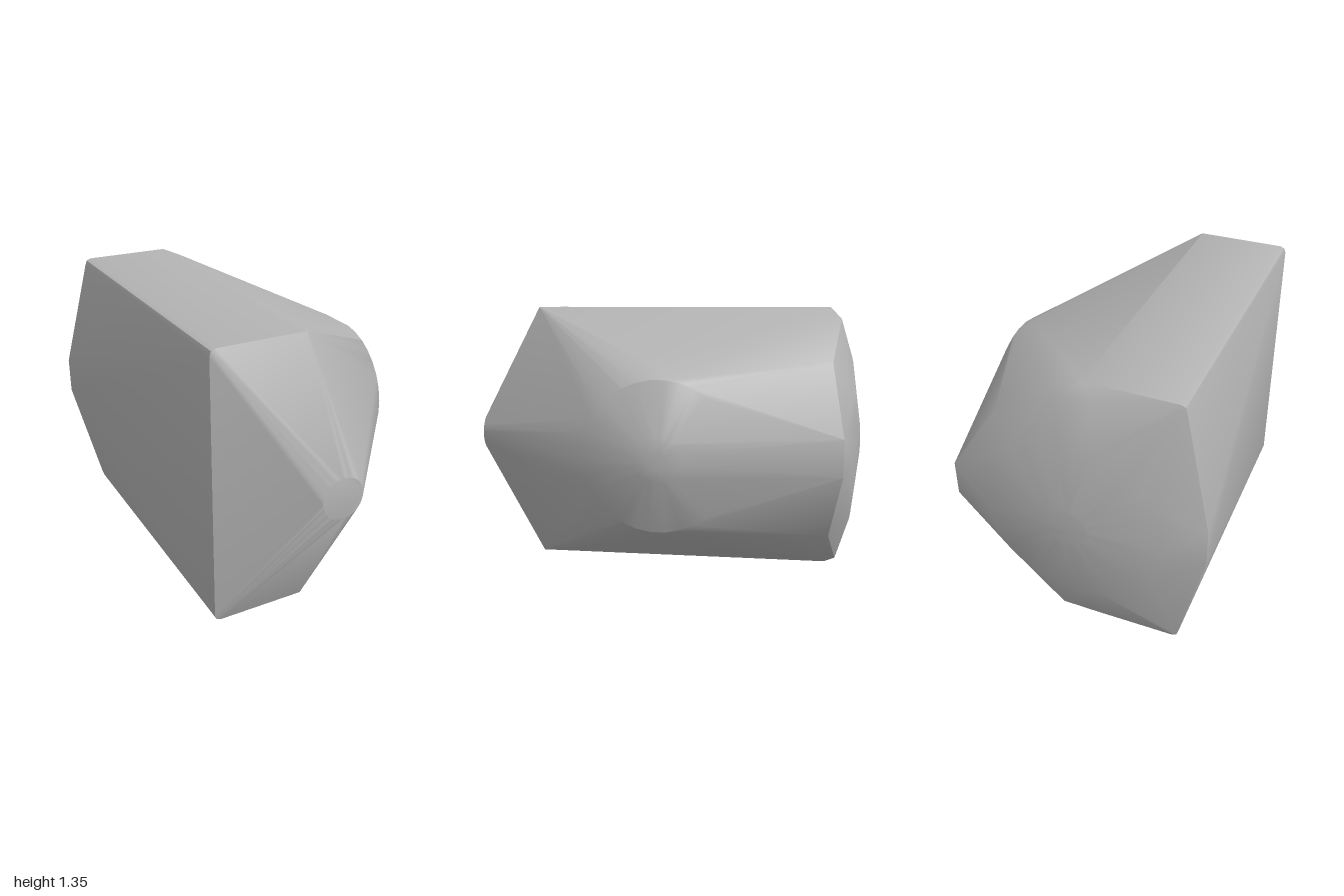
import * as THREE from 'three';
import { ConvexGeometry } from 'three/addons/geometries/ConvexGeometry.js';
import { toCreasedNormals } from 'three/addons/utils/BufferGeometryUtils.js';

const MID = 0.677; // mirror height of the body

export function createModel() {
  const group = new THREE.Group();
  group.name = 'facetedHull';
  const grey = new THREE.MeshStandardMaterial({ color: 0xb4b4b4 });
  grey.name = 'grey';

  const points = [];
  // a point and its mirror above and below the middle
  const pair = (x, dy, z) => {
    points.push(new THREE.Vector3(x, MID + dy, z), new THREE.Vector3(x, MID - dy, z));
  };
  // circle facing along z or x
  const ring = (axis, at, centre, r, n = 32) => {
    for (let i = 0; i < n; i++) {
      const a = ((i + 0.5) / n) * Math.PI * 2;
      const c = centre + r * Math.cos(a), y = MID + r * Math.sin(a);
      points.push(axis === 'z' ? new THREE.Vector3(c, y, at) : new THREE.Vector3(at, y, c));
    }
  };

  // flat top and bottom slabs with softened outer corners
  for (const z of [0.71, -0.84]) {
    pair(-0.115, 0.677, z);
    pair(-0.545, 0.677, z);
    pair(-0.567, 0.668, z);
    pair(-0.575, 0.645, z);
  }

  // small round nose
  ring('z', 1.0, -0.09, 0.103);

  // domed side
  ring('x', 0.70, -0.06, 0.05);
  ring('x', 0.69, -0.06, 0.105);
  ring('x', 0.605, -0.05, 0.355);
  ring('x', 0.51, -0.05, 0.412);

  // domed back
  ring('z', -1.0, -0.095, 0.1);
  ring('z', -0.95, -0.09, 0.43);
  pair(0.527, 0.088, -0.89);
  pair(-0.705, 0.092, -0.89);
  pair(0.0, 0.62, -0.89);
  pair(-0.18, 0.62, -0.89);
  pair(0.31, 0.42, -0.84);

  const body = new THREE.Mesh(toCreasedNormals(new ConvexGeometry(points), 0.55), grey);
  body.name = 'body';
  group.add(body);
  return group;
}
